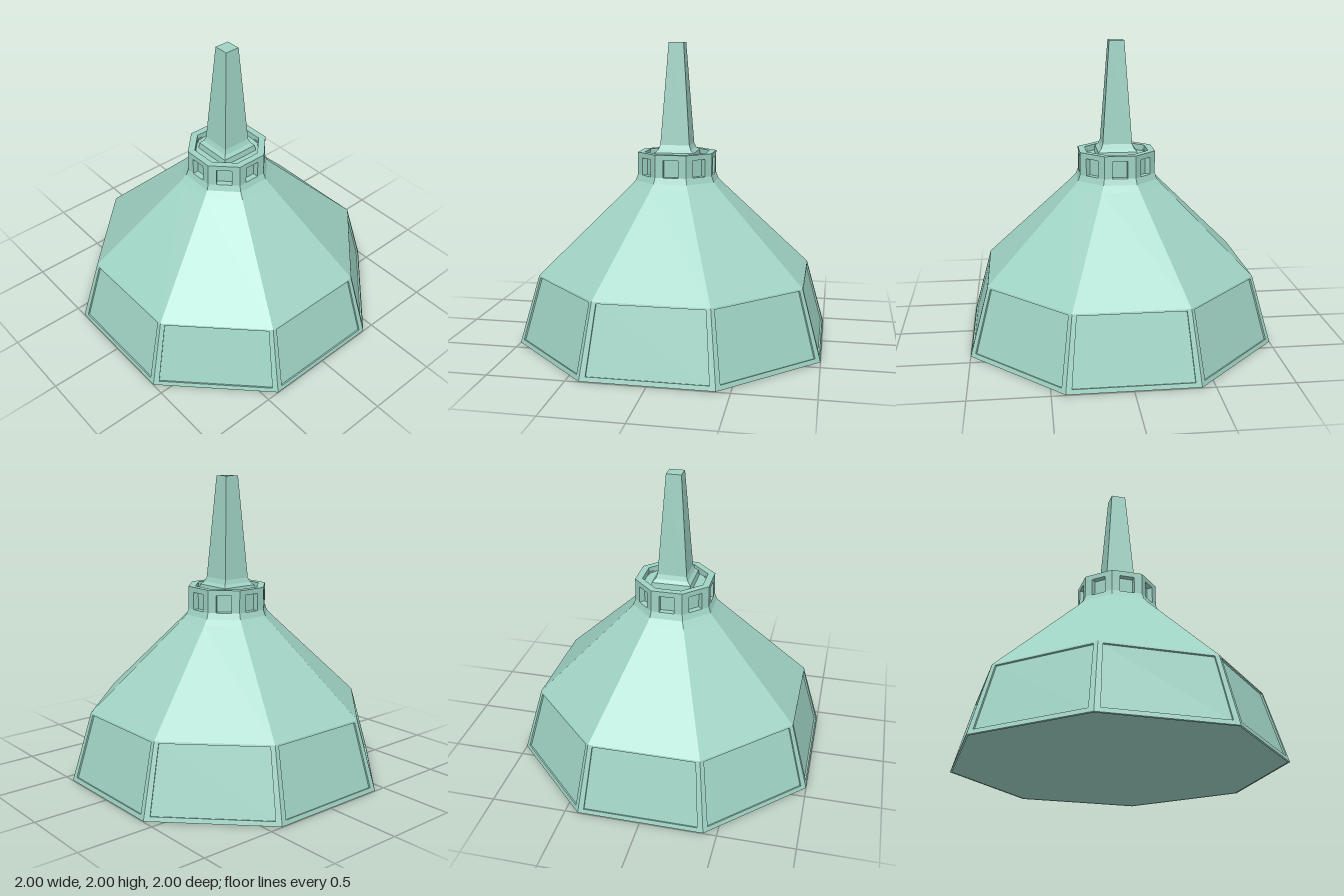
import * as THREE from 'three';

const material = new THREE.MeshStandardMaterial({ color: 0x9fd3c4, flatShading: true });

function addPart(parent, name, geometry) {
  const flat = geometry.index ? geometry.toNonIndexed() : geometry;
  flat.computeVertexNormals();
  const mesh = new THREE.Mesh(flat, material);
  mesh.name = name;
  parent.add(mesh);
  return mesh;
}

// Polygonal solid from [apothem, y] pairs, listed bottom to top, with a flat side facing +z
function prism(sides, profile) {
  const k = 1 / Math.cos(Math.PI / sides);
  const points = profile.map(([r, y]) => new THREE.Vector2(r * k, y));
  return new THREE.LatheGeometry(points, sides).rotateY(Math.PI / sides);
}

// Closed trapezoid outline: half widths at bottom and top
const trapezoid = (a, y0, b, y1) =>
  [[-a, y0], [a, y0], [b, y1], [-b, y1]].map(([x, y]) => new THREE.Vector2(x, y));

export function createModel() {
  const model = new THREE.Group();
  model.name = 'octagonalRoof';
  const T = Math.tan(Math.PI / 8);
  const inset = 0.012;

  // Steep lower skirt with its closed underside
  addPart(model, 'skirt', prism(8, [[0, 0], [1 - inset, 0], [0.875 - inset, 0.46]]));

  // Raised border round each skirt panel
  const slant = Math.hypot(0.125, 0.46);
  const tilt = Math.atan2(0.125, 0.46);
  const frames = new THREE.Group();
  frames.name = 'skirtFrames';
  model.add(frames);
  for (let i = 0; i < 8; i++) {
    const shape = new THREE.Shape(trapezoid(T, 0, 0.875 * T, slant));
    shape.holes.push(new THREE.Path(trapezoid(0.375, 0.03, 0.335, slant - 0.012).reverse()));
    const frame = new THREE.ExtrudeGeometry(shape, { depth: inset, bevelEnabled: false });
    frame.translate(0, 0, -inset).rotateX(-tilt).translate(0, 0, 1).rotateY(i * Math.PI / 4);
    addPart(frames, 'skirtFrame', frame);
  }

  // Main slope, curving up into the collar
  addPart(model, 'upperRoof', prism(8, [
    [0.86, 0.455], [0.875, 0.46], [0.3, 1.045], [0.265, 1.085], [0.25, 1.125], [0.2, 1.125],
  ]));

  // Collar: recessed core, rim with a sunken top, and corner posts between the windows
  const collar = new THREE.Group();
  collar.name = 'collar';
  model.add(collar);
  addPart(collar, 'collarCore', prism(8, [[0.21, 1.1], [0.21, 1.24]]));
  addPart(collar, 'collarRim', prism(8, [
    [0.2, 1.24], [0.25, 1.24], [0.25, 1.275], [0.205, 1.275], [0.205, 1.235], [0, 1.235],
  ]));
  const c = 0.25 * T;
  const w = 0.05;
  const s = Math.SQRT1_2;
  // Chevron plan of a post: spans the corner between two neighbouring faces
  const turn = (x, z) => [(x + z) * s, (z - x) * s];
  const plan = [
    [w, 0.25], [c, 0.25], turn(-w, 0.25), turn(-w, 0.2), [0.2 * T, 0.2], [w, 0.2],
  ].map(([x, z]) => new THREE.Vector2(x, -z));
  for (let i = 0; i < 8; i++) {
    const post = new THREE.ExtrudeGeometry(new THREE.Shape(plan), { depth: 0.125, bevelEnabled: false });
    post.rotateX(-Math.PI / 2).translate(0, 1.12, 0).rotateY(i * Math.PI / 4);
    addPart(collar, 'collarPost', post);
  }

  // Square tapering spire with a flared foot
  addPart(model, 'spire', prism(4, [
    [0.135, 1.235], [0.13, 1.275], [0.11, 1.295], [0.098, 1.325], [0.05, 2], [0, 2],
  ]));

  return model;
}
